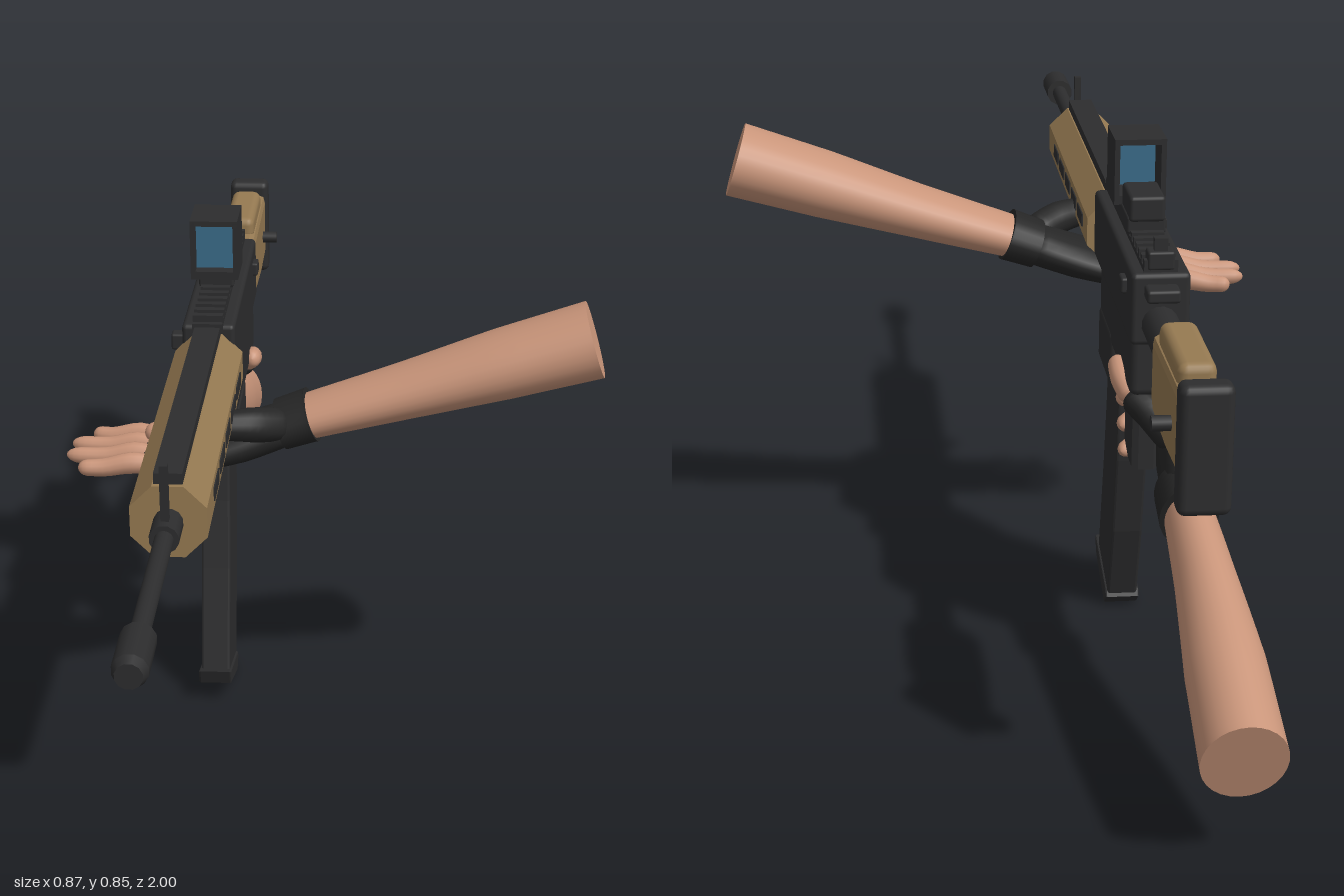
import * as THREE from 'three';
import { RoundedBoxGeometry } from 'three/addons/geometries/RoundedBoxGeometry.js';

const mat = (name, color, side = THREE.FrontSide) => {
  const m = new THREE.MeshStandardMaterial({ color, side });
  m.name = name;
  return m;
};

export function createModel() {
  const root = new THREE.Group();
  const metal = mat('gunmetal', 0x2d2d2e), glove = mat('glove', 0x262626), tan = mat('tan', 0x967a52);
  const skin = mat('skin', 0xc9957a), glass = mat('glass', 0x3a6c8a, THREE.DoubleSide);
  const X = -0.213, Y = 0.635; // bore axis

  const add = (parent, name, geo, m) => {
    const mesh = new THREE.Mesh(geo, m);
    mesh.name = name;
    parent.add(mesh);
    return mesh;
  };
  const group = (name) => {
    const g = new THREE.Group();
    g.name = name;
    root.add(g);
    return g;
  };
  // box given by its x centre and width, and y and z ranges
  const box = (p, name, m, x, w, y0, y1, z0, z1, r = 0) => {
    const h = y1 - y0, d = z1 - z0;
    const geo = r ? new RoundedBoxGeometry(w, h, d, 2, r) : new THREE.BoxGeometry(w, h, d);
    return add(p, name, geo.translate(x, (y0 + y1) / 2, (z0 + z1) / 2), m);
  };
  // round or faceted rod along z
  const rod = (p, name, m, r, z0, z1, sides = 20, y = Y, r1 = r) => {
    let geo = new THREE.CylinderGeometry(r1, r, z1 - z0, sides).rotateY(Math.PI / sides).rotateX(Math.PI / 2);
    if (sides <= 8) {
      geo = geo.toNonIndexed();
      geo.computeVertexNormals();
    }
    return add(p, name, geo.translate(X, y, (z0 + z1) / 2), m);
  };
  // side profile of [z, y] points, extruded across x
  const profile = (p, name, m, pts, w, bevel = 0.004) => {
    const shape = new THREE.Shape(pts.map(([z, y]) => new THREE.Vector2(z, y)));
    const geo = new THREE.ExtrudeGeometry(shape, {
      depth: w - 2 * bevel, bevelEnabled: bevel > 0, bevelSize: bevel, bevelOffset: -bevel, bevelThickness: bevel, bevelSegments: 2,
    });
    return add(p, name, geo.rotateY(-Math.PI / 2).translate(X + w / 2 - bevel, 0, 0), m);
  };
  // elliptical loft through [x, y, z, radius along side, other radius]
  const loft = (p, name, m, secs, side, round = 0, seg = 20) => {
    const curve = new THREE.CatmullRomCurve3(secs.map((s) => new THREE.Vector3(s[0], s[1], s[2])));
    const pos = [], idx = [], rings = 18, k = secs.length - 1;
    for (let i = 0; i <= rings; i++) {
      const t = (1 - Math.cos((Math.PI * i) / rings)) / 2, c = curve.getPoint(t), tan3 = curve.getTangent(t);
      const up = new THREE.Vector3().crossVectors(tan3, side).normalize();
      const sd = new THREE.Vector3().crossVectors(up, tan3);
      const j = Math.min(Math.floor(t * k), k - 1), f = t * k - j;
      const e = round ? Math.min(1, Math.min(t, 1 - t) / round) : 1;
      const s = Math.max(0.02, Math.sqrt(1 - (1 - e) ** 2));
      const ra = THREE.MathUtils.lerp(secs[j][3], secs[j + 1][3], f) * s;
      const rb = THREE.MathUtils.lerp(secs[j][4], secs[j + 1][4], f) * s;
      for (let a = 0; a < seg; a++) {
        const q = (a / seg) * Math.PI * 2;
        const v = c.clone().addScaledVector(sd, ra * Math.cos(q)).addScaledVector(up, rb * Math.sin(q));
        pos.push(v.x, v.y, v.z);
      }
    }
    for (let i = 0; i < rings; i++) for (let a = 0; a < seg; a++) {
      const b = (a + 1) % seg, o = i * seg, n = o + seg;
      idx.push(o + a, o + b, n + a, o + b, n + b, n + a);
    }
    for (const end of [0, rings]) { // flat caps
      const base = pos.length / 3;
      pos.push(...pos.slice(end * seg * 3, (end + 1) * seg * 3));
      for (let a = 1; a < seg - 1; a++) idx.push(base, base + (end ? a : a + 1), base + (end ? a + 1 : a));
    }
    const geo = new THREE.BufferGeometry();
    geo.setAttribute('position', new THREE.Float32BufferAttribute(pos, 3));
    geo.setIndex(idx);
    geo.computeVertexNormals();
    return add(p, name, geo, m);
  };

  // barrel, muzzle and front sight
  const barrel = group('barrel');
  rod(barrel, 'barrelTube', metal, 0.014, 0.5, 0.92);
  rod(barrel, 'muzzle', metal, 0.025, 0.9, 0.985, 12);
  rod(barrel, 'muzzleTip', metal, 0.025, 0.985, 1.0, 12, Y, 0.019);
  rod(barrel, 'gasBlock', metal, 0.022, 0.555, 0.615, 12);
  box(barrel, 'frontSight', metal, X, 0.012, 0.64, 0.742, 0.587, 0.6);

  // octagonal handguard with slots and top rail
  const guard = group('handguard');
  rod(guard, 'handguardBody', tan, 0.0606, -0.04, 0.558, 8);
  box(guard, 'topRail', metal, X, 0.042, 0.68, 0.708, -0.05, 0.55);
  for (let i = 0; i < 5; i++) for (const s of [-1, 1]) {
    const z = 0.43 - i * 0.094;
    box(guard, 'slot', metal, X + s * 0.055, 0.006, 0.625, 0.647, z - 0.034, z + 0.034);
  }

  // receiver
  const rec = group('receiver');
  box(rec, 'upperReceiver', metal, X, 0.088, 0.595, 0.706, -0.478, -0.035, 0.008);
  box(rec, 'lowerReceiver', metal, X, 0.08, 0.505, 0.61, -0.455, -0.095, 0.012);
  box(rec, 'magazineWell', metal, X, 0.085, 0.44, 0.53, -0.243, -0.1, 0.01);
  box(rec, 'ejectionPort', metal, X - 0.045, 0.006, 0.63, 0.67, -0.27, -0.14);
  box(rec, 'chargingHandle', metal, X - 0.055, 0.024, 0.645, 0.673, -0.1, -0.075, 0.004);
  box(rec, 'selector', metal, X + 0.045, 0.016, 0.66, 0.684, -0.43, -0.4, 0.004);
  box(rec, 'railBase', metal, X, 0.05, 0.7, 0.714, -0.47, -0.02);
  for (let i = 0; i < 17; i++) {
    const z = -0.03 - i * 0.0268;
    box(rec, 'railTooth', metal, X, 0.05, 0.712, 0.725, z - 0.013, z);
  }
  box(rec, 'rearSightBase', metal, X, 0.04, 0.71, 0.738, -0.475, -0.445, 0.004);
  box(rec, 'rearSight', metal, X, 0.02, 0.73, 0.757, -0.468, -0.456);
  box(rec, 'rearLatch', metal, X, 0.05, 0.67, 0.69, -0.51, -0.47, 0.005);

  // reflex sight
  const optic = group('sight');
  box(optic, 'mount', metal, X, 0.06, 0.718, 0.745, -0.32, -0.185, 0.004);
  box(optic, 'emitter', metal, X, 0.055, 0.738, 0.778, -0.328, -0.24, 0.006);
  box(optic, 'hoodFloor', metal, X, 0.08, 0.742, 0.756, -0.245, -0.155);
  box(optic, 'hoodRoof', metal, X, 0.08, 0.836, 0.845, -0.245, -0.155);
  for (const s of [-1, 1]) box(optic, 'hoodWall', metal, X + s * 0.036, 0.008, 0.75, 0.842, -0.245, -0.155);
  box(optic, 'lens', glass, X, 0.066, 0.755, 0.829, -0.182, -0.177);

  // stock
  const stock = group('stock');
  rod(stock, 'bufferTube', metal, 0.028, -0.64, -0.46, 16, 0.628);
  profile(stock, 'stockBody', tan, [[-0.605, 0.66], [-0.605, 0.565], [-0.625, 0.545], [-0.74, 0.538], [-0.855, 0.545], [-0.855, 0.665]], 0.064, 0.012);
  box(stock, 'cheekRest', tan, X, 0.054, 0.648, 0.69, -0.81, -0.63, 0.014);
  box(stock, 'buttPad', metal, X, 0.074, 0.505, 0.69, -0.893, -0.852, 0.012);
  add(stock, 'stockButton', new THREE.CylinderGeometry(0.011, 0.011, 0.05, 12).rotateZ(Math.PI / 2).translate(X + 0.034, 0.6, -0.79), metal);

  // curved magazine and pistol grip
  const mag = group('magazine');
  profile(mag, 'magazineBody', metal, [[-0.1, 0.47], [-0.087, 0.36], [-0.063, 0.24], [-0.018, 0.06], [-0.142, 0.018], [-0.188, 0.16], [-0.218, 0.3], [-0.237, 0.47]], 0.05);
  profile(mag, 'magazineBase', metal, [[0.0, 0.068], [-0.01, 0.04], [-0.125, 0.0], [-0.148, 0.02], [-0.14, 0.032]], 0.057, 0.003);
  profile(root, 'pistolGrip', metal, [[-0.285, 0.52], [-0.305, 0.37], [-0.37, 0.35], [-0.375, 0.52]], 0.052, 0.014);

  // hand and arm holding the grip
  const rear = group('rearArm'), sx = new THREE.Vector3(1, 0, 0), sz = new THREE.Vector3(0, 0, 1);
  loft(rear, 'rearForearm', skin, [[-0.256, 0.345, -0.5, 0.036, 0.048], [-0.26, 0.296, -0.66, 0.045, 0.06], [-0.263, 0.24, -0.82, 0.058, 0.069], [-0.264, 0.183, -0.974, 0.061, 0.072]], sx, 0, 28);
  loft(rear, 'rearCuff', glove, [[-0.256, 0.358, -0.472, 0.045, 0.06], [-0.256, 0.34, -0.53, 0.045, 0.058]], sx);
  loft(rear, 'rearPalm', glove, [[-0.256, 0.35, -0.51, 0.036, 0.048], [-0.26, 0.395, -0.43, 0.04, 0.075], [-0.267, 0.425, -0.34, 0.036, 0.08], [-0.265, 0.43, -0.28, 0.028, 0.07]], sx, 0.12);
  for (let i = 0; i < 4; i++) {
    const y = 0.485 - i * 0.039, z = -i * 0.012, r = 0.021 - i * 0.001;
    loft(rear, 'rearFingerGlove', glove, [[-0.276, y, -0.35 + z, r, r], [-0.28, y - 0.004, -0.3 + z, r, r], [-0.27, y - 0.008, -0.262 + z, r, r]], new THREE.Vector3(0, 1, 0), 0.15, 12);
    loft(rear, 'rearFinger', skin, [[-0.274, y - 0.007, -0.275 + z, r - 0.003, r - 0.003], [-0.25, y - 0.01, -0.25 + z, r - 0.002, r - 0.002], [-0.21, y - 0.012, -0.246 + z, r - 0.003, r - 0.003], [-0.182, y - 0.012, -0.275 + z, r - 0.005, r - 0.005]], new THREE.Vector3(0, 1, 0), 0.15, 12);
  }
  loft(rear, 'rearThumbGlove', glove, [[-0.25, 0.43, -0.45, 0.03, 0.035], [-0.21, 0.47, -0.435, 0.026, 0.028], [-0.178, 0.495, -0.41, 0.022, 0.022]], sx, 0.15, 14);
  loft(rear, 'rearThumb', skin, [[-0.183, 0.488, -0.42, 0.018, 0.02], [-0.17, 0.51, -0.385, 0.017, 0.019], [-0.168, 0.523, -0.34, 0.014, 0.016]], sx, 0.15, 14);

  // hand and arm supporting the handguard
  const front = group('supportArm');
  loft(front, 'supportForearm', skin, [[0.417, 0.738, 0.078, 0.076, 0.061], [0.27, 0.692, 0.076, 0.073, 0.055], [0.12, 0.644, 0.075, 0.063, 0.044], [-0.05, 0.592, 0.075, 0.054, 0.034]], sz, 0, 28);
  loft(front, 'supportCuff', glove, [[-0.035, 0.598, 0.075, 0.06, 0.043], [-0.085, 0.58, 0.075, 0.058, 0.04]], sz);
  loft(front, 'supportPalm', glove, [[-0.06, 0.588, 0.075, 0.05, 0.034], [-0.15, 0.556, 0.08, 0.066, 0.034], [-0.24, 0.533, 0.08, 0.078, 0.028], [-0.315, 0.522, 0.075, 0.07, 0.018]], sz, 0.1);
  const tips = [[0.0, -0.405], [0.042, -0.435], [0.088, -0.438], [0.138, -0.412]];
  tips.forEach(([z, x], i) => {
    const zb = 0.028 + i * 0.034;
    loft(front, 'supportFingerGlove', glove, [[-0.25, 0.53, zb, 0.02, 0.021], [-0.305, 0.525, zb - 0.003, 0.018, 0.02]], sz, 0.2, 12);
    loft(front, 'supportFinger', skin, [[-0.28, 0.526, zb, 0.015, 0.016], [-0.325, 0.531, (zb + z) / 2, 0.016, 0.018], [-0.37, 0.523, (zb + 2 * z) / 3, 0.015, 0.015], [x, 0.523, z, 0.012, 0.013]], sz, 0.12, 12);
  });
  loft(front, 'supportThumbGlove', glove, [[-0.08, 0.59, 0.1, 0.03, 0.028], [-0.13, 0.605, 0.14, 0.03, 0.028], [-0.19, 0.612, 0.165, 0.022, 0.022]], sz, 0.15, 14);
  loft(front, 'supportThumb', skin, [[-0.18, 0.612, 0.16, 0.018, 0.018], [-0.24, 0.611, 0.18, 0.018, 0.018], [-0.293, 0.61, 0.19, 0.015, 0.016]], sz, 0.15, 14);

  return root;
}
